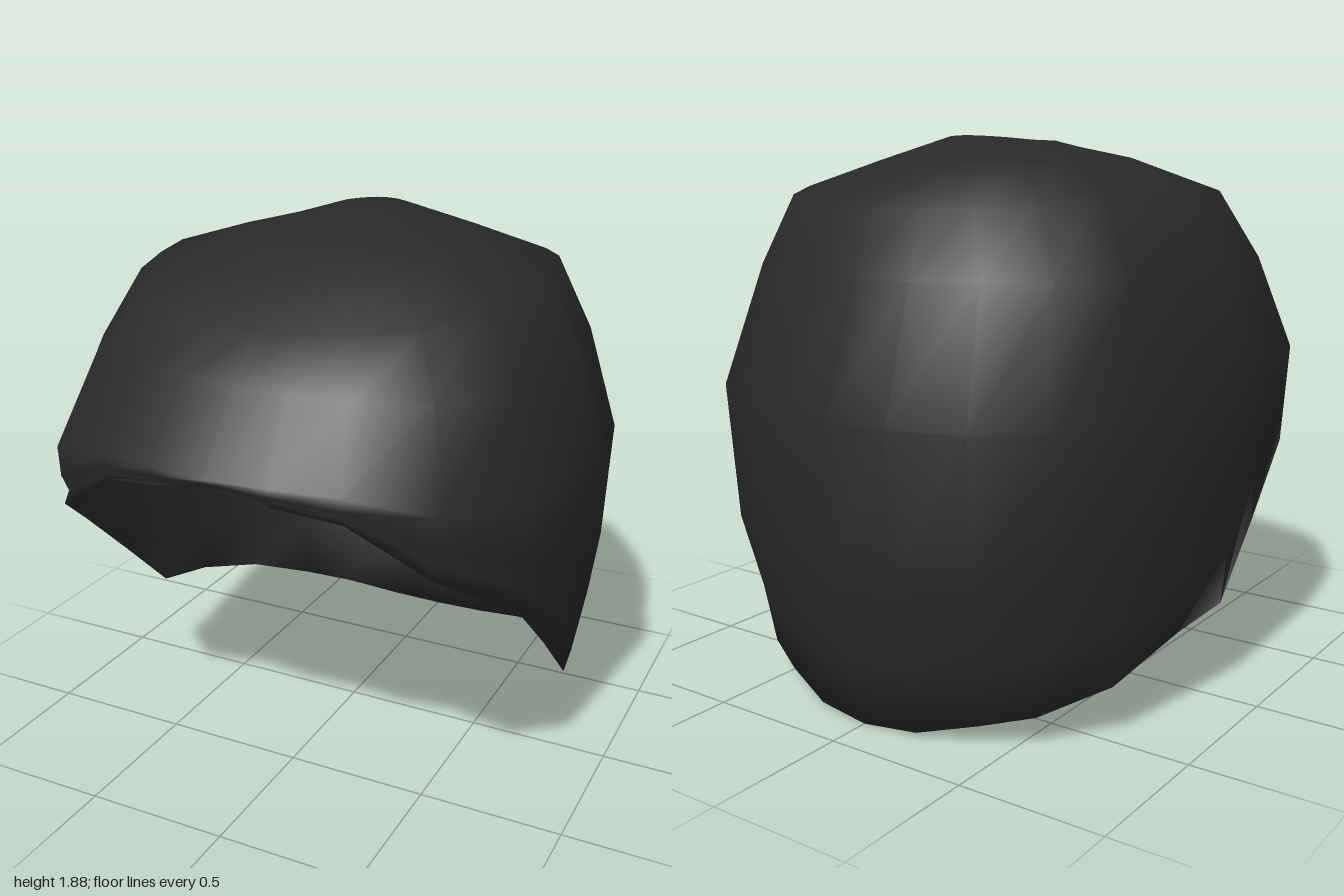
import * as THREE from 'three';

// Widest outline [x, y, z], from the front centre round the +x side to the back centre
const WIDE = [
  [0, 1.26, 1], [0.2, 1.26, 0.98], [0.41, 1.25, 0.93], [0.67, 1.2, 0.83], [0.845, 1.15, 0.53],
  [0.89, 1.17, 0.28], [0.93, 1.18, 0.02], [0.87, 1.12, -0.23], [0.82, 1.08, -0.51],
  [0.67, 1.05, -0.77], [0.46, 1.04, -0.9], [0.22, 1.04, -0.98], [0, 1.04, -1],
];
// Lower rim, sloping from the forehead down to the nape
const RIM = [
  [0, 1.23, 0.98], [0.2, 1.2, 0.97], [0.41, 1.16, 0.91], [0.66, 1, 0.83], [0.82, 0.8, 0.53],
  [0.835, 0.57, 0.28], [0.84, 0.33, 0.03], [0.8, 0.29, -0.2], [0.73, 0.19, -0.5],
  [0.56, 0.11, -0.68], [0.4, 0.07, -0.76], [0.2, 0.02, -0.83], [0, 0.005, -0.85],
];
// Rings above the widest one: half width, front z, back z, then y at side, front and back
const UPPER = [
  [0.18, 0.06, 0.27, 1.872, 1.855, 1.89],
  [0.41, 0.35, 0.48, 1.815, 1.81, 1.8],
  [0.69, 0.69, 0.76, 1.73, 1.625, 1.67],
  [0.825, 0.83, 0.84, 1.46, 1.5, 1.46],
];

const vec = (p) => new THREE.Vector3(...p);

// Completes a half ring with its mirror image
function mirrorRing(half) {
  const other = half.slice(1, -1).reverse().map((p) => new THREE.Vector3(-p.x, p.y, p.z));
  return [...half, ...other];
}

function upperRing([width, front, back, ySide, yFront, yBack]) {
  return mirrorRing(WIDE.map(([x, , z]) => new THREE.Vector3(
    (x / 0.93) * width,
    THREE.MathUtils.lerp(ySide, z > 0 ? yFront : yBack, z * z),
    z * (z > 0 ? front : back),
  )));
}

// Ring between the rim (t = 0) and the widest outline (t = 1), fuller at the nape;
// pinch draws every other point inward to suggest locks of hair
function lowerRing(t, pinch) {
  return mirrorRing(RIM.map((r, i) => {
    const p = vec(r).lerp(vec(WIDE[i]), t);
    const bulge = 4 * t * (1 - t) * 0.055 * Math.max(0, -p.z);
    const s = 1 + bulge - (i % 2 ? pinch : 0);
    p.x *= s;
    p.z *= s;
    return p;
  }));
}

function hairGeometry() {
  const outer = [
    ...UPPER.map(upperRing),
    lowerRing(1, 0), lowerRing(0.5, 0), lowerRing(0.22, 0.018), lowerRing(0, 0),
  ];
  // Thin inner lining that meets the outside in one sharp edge at the rim
  const centre = new THREE.Vector3(0, 0.95, -0.03);
  const inset = (p) => p.clone().sub(centre).multiplyScalar(0.98).add(centre);
  const inner = outer.slice(0, -1).map((ring) => ring.map(inset)).reverse();
  const rings = [...outer, ...inner];
  const crown = new THREE.Vector3(0, 1.88, -0.1);
  const n = rings[0].length;
  const points = [...rings.flat(), crown, inset(crown)];
  const top = rings.length * n;
  const last = top - n;
  const index = [];
  for (let j = 0; j < n; j++) {
    const k = (j + 1) % n;
    index.push(top, j, k);
    for (let i = 0; i < rings.length - 1; i++) {
      const a = i * n + j, c = i * n + k;
      index.push(a, a + n, c, c, a + n, c + n);
    }
    index.push(last + j, top + 1, last + k);
  }
  const geometry = new THREE.BufferGeometry().setFromPoints(points);
  geometry.setIndex(index);
  geometry.computeVertexNormals();
  return geometry;
}

export function createModel() {
  const model = new THREE.Group();
  model.name = 'hairCap';
  const charcoal = new THREE.MeshStandardMaterial({ color: 0x292929 });
  charcoal.name = 'charcoal';
  const hair = new THREE.Mesh(hairGeometry(), charcoal);
  hair.name = 'hair';
  model.add(hair);
  return model;
}
